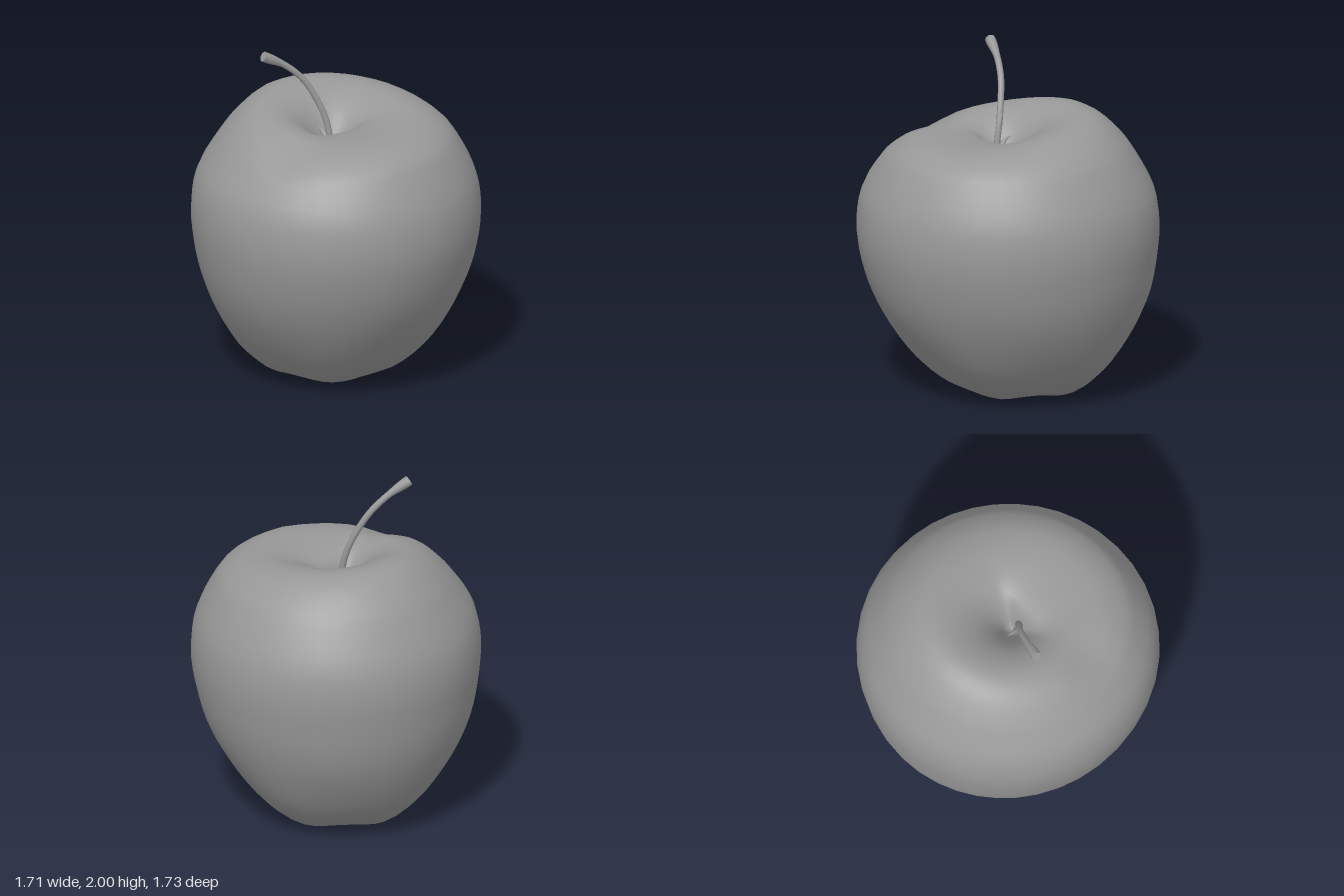
import * as THREE from 'three';
import { mergeVertices, toCreasedNormals } from 'three/addons/utils/BufferGeometryUtils.js';

const material = new THREE.MeshStandardMaterial({ color: 0x989898 });
const { smoothstep } = THREE.MathUtils;

// Profile as [radius, height], from the bottom hollow up and over into the stem hollow
const profile = [
  [0, 0.15], [0.06, 0.13], [0.13, 0.07], [0.21, 0.026], [0.31, 0.022], [0.42, 0.06],
  [0.57, 0.2], [0.7, 0.4], [0.79, 0.6], [0.84, 0.8], [0.86, 1.0], [0.83, 1.2],
  [0.73, 1.4], [0.655, 1.495], [0.54, 1.575], [0.4, 1.605], [0.27, 1.575],
  [0.17, 1.51], [0.09, 1.42], [0.04, 1.34], [0, 1.31],
];

// Fruit: a lathe made uneven by a few gentle rules
function fruitGeometry() {
  const curve = new THREE.SplineCurve(profile.map(([r, y]) => new THREE.Vector2(r, y)));
  const points = curve.getPoints(60);
  points.forEach((p) => { p.x = Math.max(p.x, 0); });
  points[0].x = points[60].x = 0;

  let geometry = new THREE.LatheGeometry(points, 40);
  geometry.deleteAttribute('uv');
  geometry.deleteAttribute('normal');
  geometry = mergeVertices(geometry, 1e-4);

  const pos = geometry.attributes.position;
  for (let i = 0; i < pos.count; i++) {
    let x = pos.getX(i), y = pos.getY(i), z = pos.getZ(i);
    const r = Math.hypot(x, z);
    const a = Math.atan2(z, x);
    const front = Math.max(0, Math.sin(a));

    // slightly oval girth, and five soft lobes around the base
    const lobe = -Math.cos(5 * (a - Math.PI / 2));
    const low = 1 - smoothstep(y, 0.05, 0.6);
    const scale = 1 + 0.022 * Math.cos(2 * (a + 0.93)) + 0.025 * low * lobe;
    x *= scale;
    z *= scale;
    if (y <= 1) {
      y -= 0.02 * lobe * Math.exp(-(((r - 0.26) / 0.12) ** 2));
      y -= 0.03 * Math.min(0, z) * low;
      const lean = Math.max(0, 1 - y / 0.9) ** 1.3;
      x += 0.015 * lean;
      z -= 0.08 * lean;
    } else {
      // front lip of the stem hollow: lower, with a steep wall
      const inner = 1 - smoothstep(r, 0.12, 0.45);
      y -= 0.025 * front * Math.exp(-(((r - 0.3) / 0.15) ** 2));
      z *= 1 - 0.5 * inner * front;
      x -= 0.03 * inner;
      z += 0.01 * inner;
      // shoulder tilts down to the front and to one side, with a dent there
      const shoulder = smoothstep(y, 1.2, 1.5);
      y -= 0.125 * z * (1 - smoothstep(r, 0.4, 0.75));
      y -= 0.09 * Math.max(0, -x - 0.1) * shoulder;
      y -= 0.035 * Math.exp(-((x + 0.52) ** 2 + (z - 0.2) ** 2) / 0.02) * shoulder;
    }
    pos.setXYZ(i, x, Math.max(y, 0), z);
  }
  geometry.computeVertexNormals();
  return geometry;
}

// Tube whose radius follows a rule, closed flat at its far end
function taperedTube(points, radiusAt, segments, sides) {
  const path = new THREE.CatmullRomCurve3(points.map((p) => new THREE.Vector3(...p)));
  const geometry = new THREE.TubeGeometry(path, segments, 1, sides);
  const pos = geometry.attributes.position;
  const v = new THREE.Vector3();
  for (let i = 0; i <= segments; i++) {
    const center = path.getPointAt(i / segments);
    const last = i === segments;
    const target = last ? path.getPointAt((segments - 1) / segments) : center;
    const radius = last ? 0 : radiusAt(i / (segments - 1));
    for (let j = 0; j <= sides; j++) {
      const k = i * (sides + 1) + j;
      v.fromBufferAttribute(pos, k).sub(center).multiplyScalar(radius).add(target);
      pos.setXYZ(k, v.x, v.y, v.z);
    }
  }
  return toCreasedNormals(geometry, 1.1);
}

export function createModel() {
  const group = new THREE.Group();
  group.name = 'apple';
  const add = (name, geometry) => {
    const mesh = new THREE.Mesh(geometry, material);
    mesh.name = name;
    group.add(mesh);
  };

  add('fruit', fruitGeometry());

  // Stem: curved, flaring at the tip
  add('stem', taperedTube(
    [[-0.05, 1.28, 0.03], [-0.07, 1.45, 0.03], [-0.085, 1.57, 0.005], [-0.13, 1.7, -0.035],
      [-0.19, 1.81, -0.075], [-0.29, 1.905, -0.115], [-0.45, 1.992, -0.158]],
    (t) => 0.018 + 0.002 * t + 0.011 * smoothstep(t, 0.82, 0.97), 26, 8));

  // Bud: a small spur beside the stem
  add('bud', taperedTube(
    [[-0.075, 1.42, 0.02], [-0.08, 1.47, -0.03], [-0.08, 1.5, -0.1]],
    (t) => 0.026 * (1 - t) + 0.001, 6, 5));

  return group;
}
